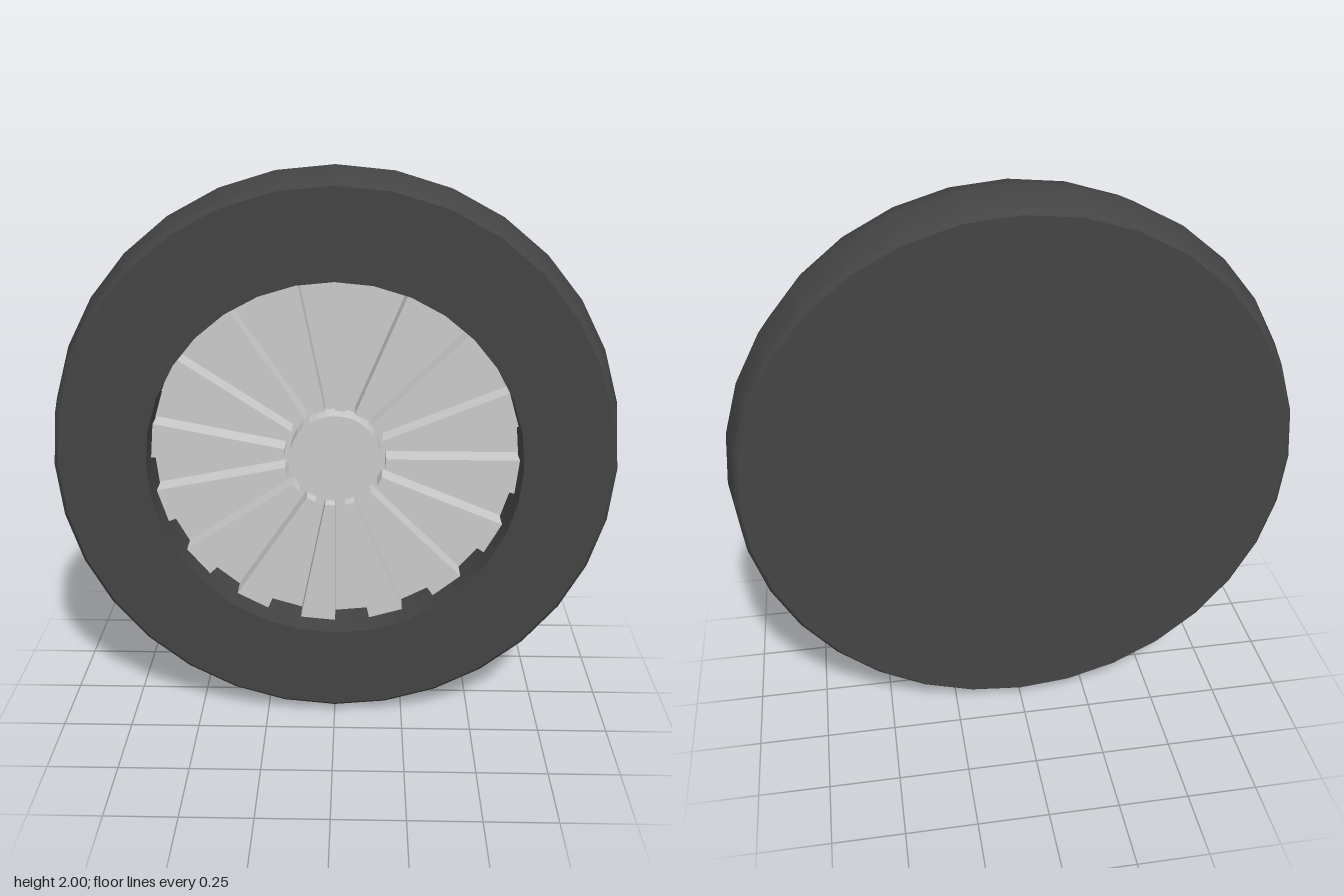
import * as THREE from 'three';
import { toCreasedNormals } from 'three/addons/utils/BufferGeometryUtils.js';

const SIDES = 32;
const STEP = (Math.PI * 2) / SIDES;
const RIM = 0.65;      // radius of the rim opening
const LOW = -0.005;    // level of the rim plate between spokes
const HIGH = 0.075;    // level of spokes and hub

export function createModel() {
  const group = new THREE.Group();
  const rubber = new THREE.MeshStandardMaterial({ color: 0x444444 });
  const metal = new THREE.MeshStandardMaterial({ color: 0xcccccc, flatShading: true });

  const add = (name, geometry, material, parent = wheel) => {
    const mesh = new THREE.Mesh(geometry, material);
    mesh.name = name;
    parent.add(mesh);
    return mesh;
  };

  const wheel = new THREE.Group();
  wheel.name = 'wheel';
  wheel.position.y = 1;
  group.add(wheel);

  // tyre with a closed flat back and an open front, turned around z
  const profile = [
    [0, -0.16], [0.955, -0.16], [0.97, -0.145], [1, 0],
    [0.97, 0.145], [0.955, 0.16], [RIM, 0.16], [RIM, LOW - 0.02],
  ].map(([r, z]) => new THREE.Vector2(r, z));
  const tyre = new THREE.LatheGeometry(profile, SIDES).rotateX(Math.PI / 2);
  add('tyre', toCreasedNormals(tyre, 0.6), rubber);

  // recessed plate behind the spokes
  add('rimPlate', new THREE.CircleGeometry(RIM, SIDES).translate(0, 0, LOW), metal);

  // hub
  const hub = new THREE.CylinderGeometry(0.16, 0.16, HIGH - LOW, SIDES);
  hub.rotateX(Math.PI / 2).translate(0, 0, (HIGH + LOW) / 2);
  add('hub', hub, metal);

  // wedge-shaped spokes on every other sector
  const at = (r, a) => new THREE.Vector2(r * Math.cos(a), r * Math.sin(a));
  const wedge = new THREE.Shape([at(0.18, 0), at(RIM - 0.003, 0), at(RIM - 0.003, STEP), at(0.18, STEP)]);
  const spoke = new THREE.ExtrudeGeometry(wedge, { depth: HIGH - LOW, bevelEnabled: false });
  spoke.translate(0, 0, LOW);
  const spokes = new THREE.Group();
  spokes.name = 'spokes';
  wheel.add(spokes);
  for (let i = 1; i < SIDES; i += 2) {
    add('spoke', spoke, metal, spokes).rotation.z = i * STEP;
  }

  return group;
}
